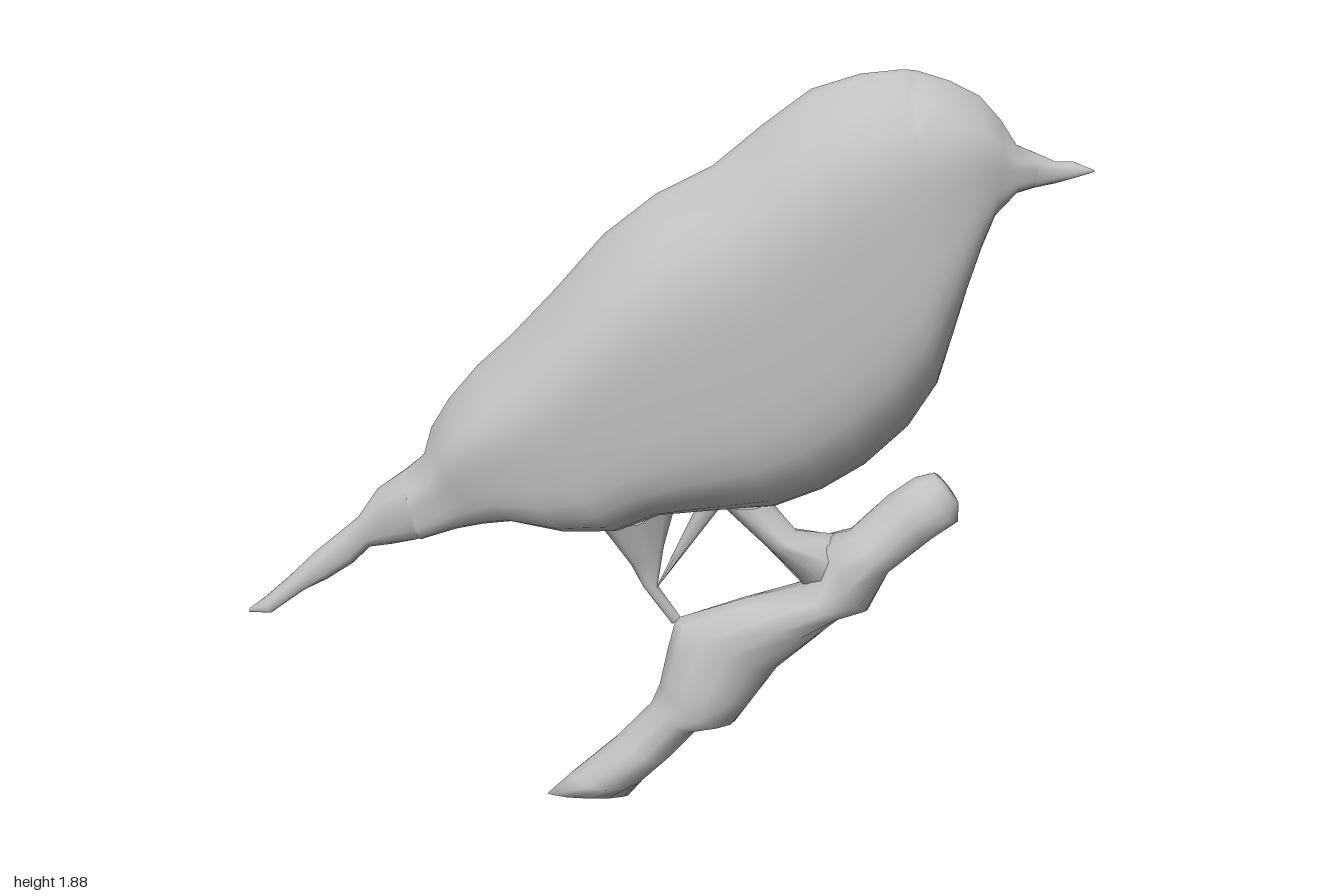
import * as THREE from 'three';

const plumage = new THREE.MeshStandardMaterial({ color: 0xc0c0c0, side: THREE.DoubleSide });
plumage.name = 'plain grey';

// Lofts puffed sections with a ridge along the outline; higher power gives flatter sides.
// Each row is [topX, topY, bottomX, bottomY, halfDepth, crownPinch]
function loft(name, rows, sides, power) {
  const pos = [], idx = [];
  for (const [ax, ay, bx, by, d, pinch = 0] of rows) {
    for (let j = 0; j < sides; j++) {
      const t = (j / sides) * Math.PI * 2;
      const c = Math.cos(t), u = (1 + c) / 2;
      const puff = (1 - Math.abs(c) ** power) * (1 - pinch * THREE.MathUtils.smoothstep(c, 0.7, 0.9));
      pos.push(bx + (ax - bx) * u, by + (ay - by) * u, d * Math.sign(Math.sin(t)) * puff);
    }
  }
  // Turn the faces outward whichever way the loft runs
  const mid = r => [(r[0] + r[2]) / 2, (r[1] + r[3]) / 2];
  const [sx, sy] = mid(rows[0]), [ex, ey] = mid(rows.at(-1));
  const m = rows[Math.floor(rows.length / 2)];
  const flip = (ex - sx) * (m[1] - m[3]) - (ey - sy) * (m[0] - m[2]) < 0;
  const tri = (a, b, c) => (flip ? idx.push(a, c, b) : idx.push(a, b, c));
  for (let i = 0; i < rows.length - 1; i++) {
    for (let j = 0; j < sides; j++) {
      const n = (j + 1) % sides, p = i * sides, q = p + sides;
      tri(p + j, p + n, q + n);
      tri(p + j, q + n, q + j);
    }
  }
  const geo = new THREE.BufferGeometry();
  geo.setAttribute('position', new THREE.Float32BufferAttribute(pos, 3));
  geo.setIndex(idx);
  geo.computeVertexNormals();
  const mesh = new THREE.Mesh(geo, plumage);
  mesh.name = name;
  return mesh;
}

export function createModel() {
  const bird = new THREE.Group();
  bird.name = 'birdOnBranch';

  // Head and body, from the brow back to the rump, with a small nick in the crown
  bird.add(loft('body', [
    [0.87, 1.69, 0.86, 1.61, 0.04],
    [0.82, 1.71, 0.82, 1.60, 0.07],
    [0.78, 1.77, 0.77, 1.54, 0.10],
    [0.73, 1.825, 0.745, 1.46, 0.13],
    [0.66, 1.86, 0.72, 1.36, 0.155],
    [0.585, 1.883, 0.70, 1.27, 0.175],
    [0.565, 1.885, 0.695, 1.25, 0.178, 0.6],
    [0.55, 1.885, 0.69, 1.23, 0.182],
    [0.46, 1.875, 0.665, 1.13, 0.198],
    [0.35, 1.84, 0.60, 1.02, 0.21],
    [0.24, 1.755, 0.50, 0.92, 0.217],
    [0.13, 1.66, 0.40, 0.855, 0.217],
    [0, 1.592, 0.29, 0.81, 0.217],
    [-0.12, 1.495, 0.16, 0.80, 0.215],
    [-0.23, 1.365, 0.02, 0.79, 0.21],
    [-0.34, 1.245, -0.08, 0.75, 0.20],
    [-0.42, 1.17, -0.20, 0.75, 0.182],
    [-0.49, 1.085, -0.33, 0.78, 0.158],
    [-0.535, 1.01, -0.40, 0.77, 0.125],
    [-0.555, 0.94, -0.47, 0.755, 0.10],
    [-0.60, 0.90, -0.56, 0.725, 0.092],
  ], 32, 4.5));

  bird.add(loft('beak', [
    [1, 1.652, 1, 1.648, 0.001],
    [0.95, 1.672, 0.95, 1.633, 0.025],
    [0.91, 1.672, 0.91, 1.62, 0.014],
    [0.87, 1.69, 0.86, 1.61, 0.04],
  ], 16, 4.5));

  bird.add(loft('tail', [
    [-0.60, 0.90, -0.56, 0.725, 0.092],
    [-0.67, 0.85, -0.635, 0.705, 0.055],
    [-0.72, 0.775, -0.695, 0.695, 0.025],
    [-0.76, 0.74, -0.74, 0.65, 0.035],
    [-0.83, 0.68, -0.80, 0.61, 0.033],
    [-0.90, 0.61, -0.86, 0.58, 0.033],
    [-0.96, 0.555, -0.94, 0.52, 0.03],
    [-1, 0.525, -1, 0.515, 0.002],
  ], 16, 4.5));

  // Legs
  bird.add(loft('rearLeg', [
    [-0.13, 0.75, 0.05, 0.82, 0.06],
    [-0.06, 0.65, 0.02, 0.70, 0.025],
    [-0.03, 0.59, 0.005, 0.595, 0.01],
    [0.04, 0.49, 0.06, 0.51, 0.01],
  ], 8, 2));
  bird.add(loft('legSpur', [
    [0.10, 0.81, 0.16, 0.81, 0.02],
    [-0.002, 0.58, 0.002, 0.585, 0.004],
  ], 6, 2));
  bird.add(loft('frontLeg', [
    [0.15, 0.82, 0.28, 0.82, 0.05],
    [0.27, 0.70, 0.34, 0.745, 0.06],
    [0.36, 0.60, 0.45, 0.735, 0.07],
    [0.42, 0.55, 0.52, 0.68, 0.06],
  ], 10, 2));

  // Knobbly branch, from the foot up to the rounded end
  bird.add(loft('branch', [
    [-0.17, 0, -0.17, 0, 0],
    [-0.275, 0.005, -0.07, 0, 0.02],
    [-0.22, 0.06, -0.03, 0.05, 0.07],
    [-0.10, 0.17, 0.04, 0.12, 0.07],
    [-0.01, 0.27, 0.11, 0.20, 0.07],
    [0.01, 0.32, 0.20, 0.22, 0.10],
    [0.03, 0.42, 0.24, 0.28, 0.10],
    [0.05, 0.505, 0.30, 0.37, 0.08],
    [0.20, 0.555, 0.40, 0.46, 0.08],
    [0.36, 0.60, 0.46, 0.52, 0.09],
    [0.40, 0.73, 0.52, 0.53, 0.10],
    [0.47, 0.745, 0.57, 0.64, 0.09],
    [0.56, 0.84, 0.67, 0.725, 0.07],
    [0.62, 0.885, 0.73, 0.77, 0.065],
    [0.665, 0.898, 0.73, 0.82, 0.04],
    [0.70, 0.865, 0.70, 0.865, 0],
  ], 12, 3));

  return bird;
}
